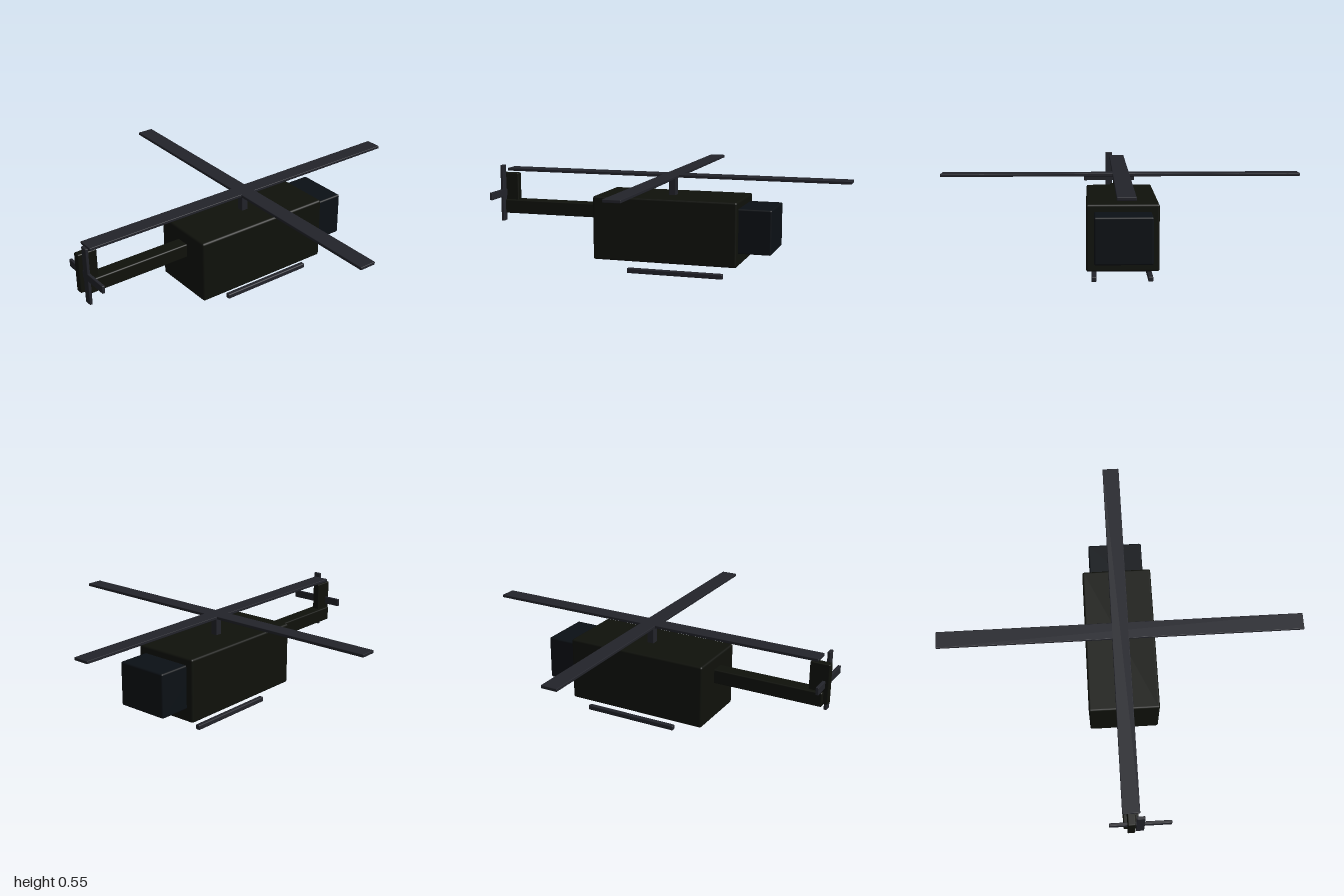
import * as THREE from 'three';
import { RoundedBoxGeometry } from 'three/addons/geometries/RoundedBoxGeometry.js';

export function createModel() {
  const model = new THREE.Group();
  model.name = 'helicopter';

  const hullMat = new THREE.MeshStandardMaterial({ color: 0x0f110b });
  const cockpitMat = new THREE.MeshStandardMaterial({ color: 0x0b1015 });
  const rotorMat = new THREE.MeshStandardMaterial({ color: 0x22232a });

  // Box with softened edges, given by its size and centre
  function block(name, size, centre, material, radius, parent = model) {
    const mesh = new THREE.Mesh(new RoundedBoxGeometry(...size, 2, radius), material);
    mesh.name = name;
    mesh.position.set(...centre);
    parent.add(mesh);
    return mesh;
  }

  // Fuselage, nose and tail
  block('fuselage', [0.8, 0.348, 0.375], [0.03, 0.246, 0], hullMat, 0.011);
  block('cockpit', [0.3, 0.24, 0.295], [0.457, 0.262, 0], cockpitMat, 0.009);
  block('tailBoom', [0.65, 0.078, 0.08], [-0.645, 0.314, 0], hullMat, 0.007);
  block('tailFin', [0.106, 0.22, 0.04], [-0.942, 0.395, 0], hullMat, 0.006);

  // Main rotor: mast and two crossed blades
  const mainRotor = new THREE.Group();
  mainRotor.name = 'mainRotor';
  mainRotor.position.set(0.03, 0.528, 0);
  model.add(mainRotor);
  block('mast', [0.04, 0.12, 0.04], [0, -0.06, 0], rotorMat, 0.004, mainRotor);
  for (const angle of [0, Math.PI / 2]) {
    block('mainBlade', [1.94, 0.016, 0.09], [0, 0, 0], rotorMat, 0.003, mainRotor).rotation.y = angle;
  }

  // Tail rotor: two crossed blades turning about the x axis
  const tailRotor = new THREE.Group();
  tailRotor.name = 'tailRotor';
  tailRotor.position.set(-0.968, 0.393, 0.047);
  model.add(tailRotor);
  for (const angle of [0, Math.PI / 2]) {
    block('tailBlade', [0.016, 0.32, 0.042], [0, 0, 0], rotorMat, 0.003, tailRotor).rotation.x = angle;
  }

  // Landing skids
  for (const side of [-1, 1]) {
    block('skid', [0.537, 0.028, 0.027], [0.081, 0.014, side * 0.148], rotorMat, 0.006);
  }

  return model;
}
